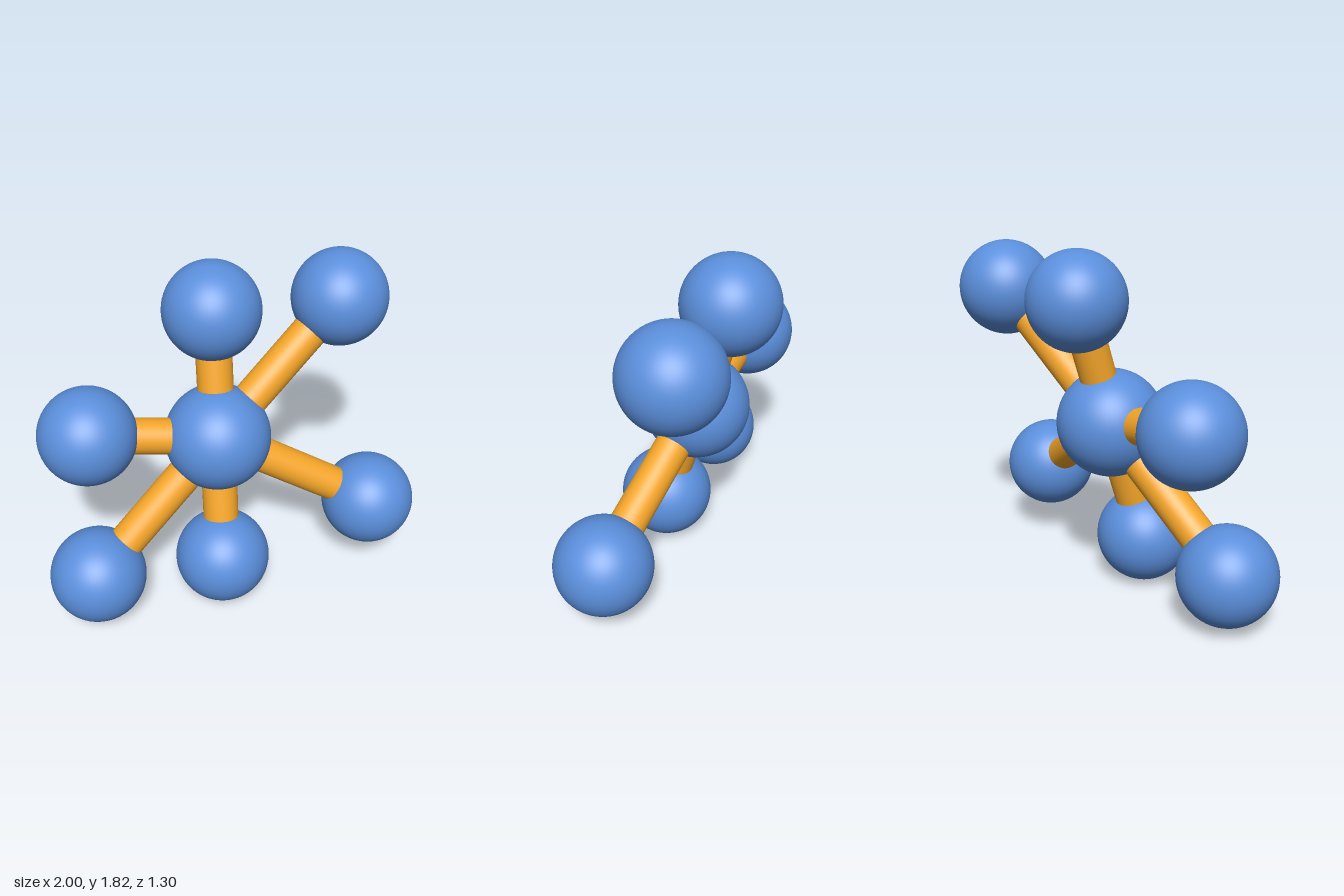
import * as THREE from 'three';

export function createModel() {
  const model = new THREE.Group();
  model.name = 'ballAndStickCluster';
  const blue = new THREE.MeshStandardMaterial({ color: 0x5b8fdc });
  const orange = new THREE.MeshStandardMaterial({ color: 0xf5a62a });
  const up = new THREE.Vector3(0, 1, 0);

  function addBall(name, radius, position) {
    const ball = new THREE.Mesh(new THREE.SphereGeometry(radius, 64, 40), blue);
    ball.name = name;
    ball.position.copy(position);
    model.add(ball);
  }

  // straight rod between two points
  function addRod(name, from, to) {
    const span = to.clone().sub(from);
    const rod = new THREE.Mesh(new THREE.CylinderGeometry(0.095, 0.095, span.length(), 48), orange);
    rod.name = name;
    rod.position.copy(from).addScaledVector(span, 0.5);
    rod.quaternion.setFromUnitVectors(up, span.normalize());
    model.add(rod);
  }

  // central ball
  const centre = new THREE.Vector3(-0.094, 0.927, 0);
  addBall('centralBall', 0.282, centre);

  // six outer balls, each joined to the centre by a rod
  const outer = {
    top: [-0.124, 1.576, -0.187],
    upperLeft: [0.532, 1.549, -0.395],
    right: [-0.745, 1.049, 0.174],
    lowerRight: [-0.723, 0.292, 0.396],
    bottom: [-0.067, 0.262, 0.2],
    lowerLeft: [0.741, 0.427, -0.111],
  };
  for (const [name, coords] of Object.entries(outer)) {
    const end = new THREE.Vector3(...coords);
    addRod(name + 'Rod', centre, end);
    addBall(name + 'Ball', 0.255, end);
  }

  return model;
}
